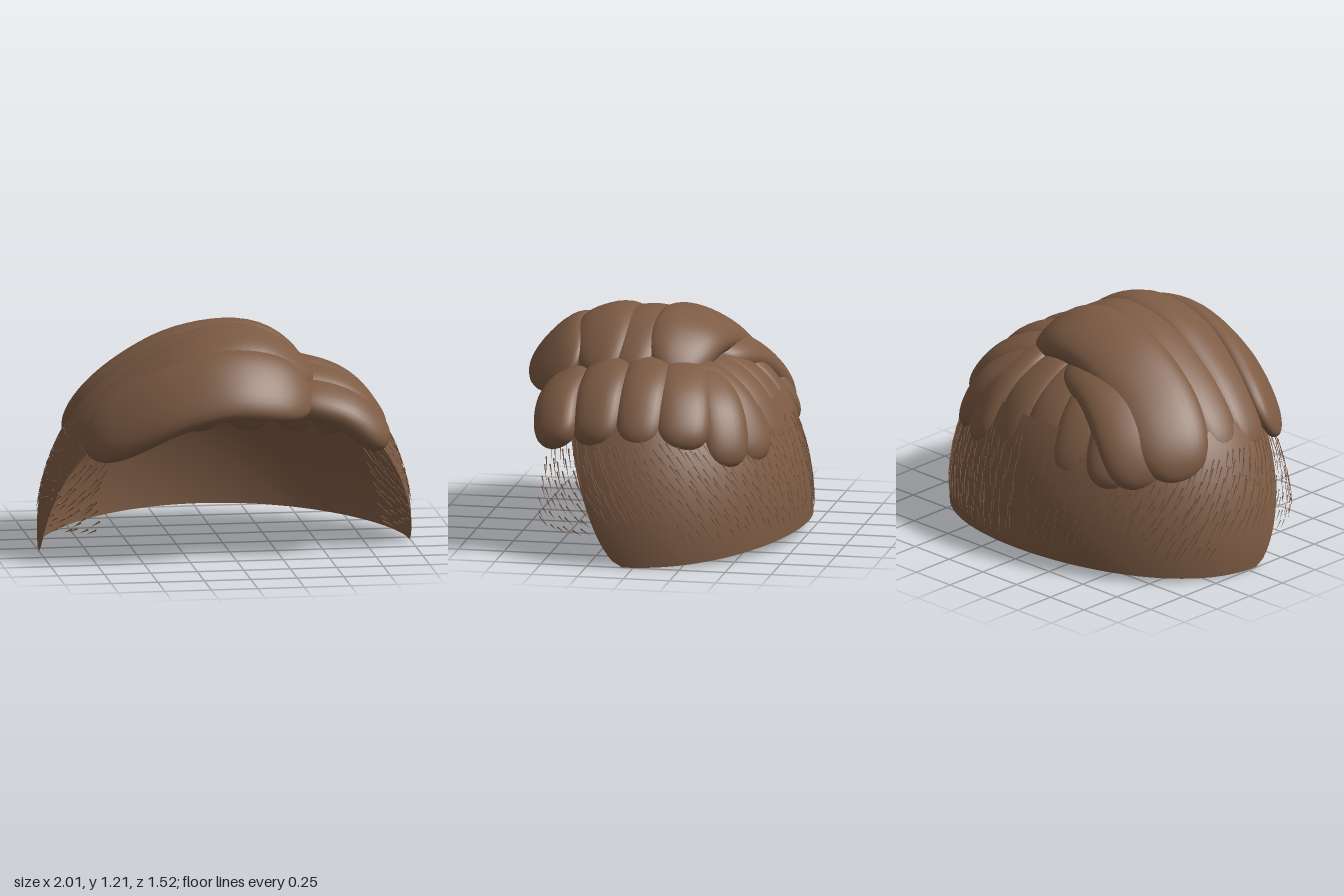
import * as THREE from 'three';
import { mergeGeometries } from 'three/addons/utils/BufferGeometryUtils.js';
import { ParametricGeometry } from 'three/addons/geometries/ParametricGeometry.js';

const V = (x, y, z) => new THREE.Vector3(x, y, z);
const CENTRE = V(0, 0.2, 0.05);

// point on the head ellipsoid at an azimuth (0 = +x, -PI/2 = back) and height
function headPoint(a, y, k = 1) {
  const s = k * Math.sqrt(1 - ((y - 0.1) / 1.05) ** 2);
  return V(s * Math.cos(a), y, 0.05 + 0.8 * s * Math.sin(a));
}

// plump lock swept along a path, flattened against the head, with round ends
function lockGeometry(points, w0, w1, thick, centre = CENTRE) {
  const curve = new THREE.CatmullRomCurve3(points.map(p => V(...p)));
  const n = 40, m = 28, pos = [], idx = [];
  const soft = (v, e) => Math.sign(v) * Math.abs(v) ** e;
  for (let i = 0; i <= n; i++) {
    const u = 0.5 - 0.5 * Math.cos(Math.PI * i / n);
    const c = curve.getPointAt(u), t = curve.getTangentAt(u);
    const out = c.clone().sub(centre);
    out.addScaledVector(t, -out.dot(t)).normalize();
    const side = t.clone().cross(out);
    const round = Math.sqrt(Math.max(0, 1 - Math.abs(2 * u - 1) ** 5)) + 1e-4;
    const w = (w0 + (w1 - w0) * u) * round, h = thick * round;
    for (let j = 0; j < m; j++) {
      const a = 2 * Math.PI * j / m;
      const p = c.clone().addScaledVector(side, w * soft(Math.cos(a), 0.9))
        .addScaledVector(out, h * soft(Math.sin(a), 0.9));
      pos.push(p.x, p.y, p.z);
      if (i < n) {
        const q = i * m + j, r = i * m + (j + 1) % m;
        idx.push(q, q + m, r, r, q + m, r + m);
      }
    }
  }
  const g = new THREE.BufferGeometry();
  g.setAttribute('position', new THREE.Float32BufferAttribute(pos, 3));
  g.setIndex(idx);
  g.computeVertexNormals();
  return g;
}

export function createModel() {
  const model = new THREE.Group();
  model.name = 'hairpiece';
  const brown = new THREE.MeshStandardMaterial({ color: 0x7d5b44, side: THREE.DoubleSide });
  brown.name = 'brown hair';
  const add = (parent, name, geometry) => {
    const mesh = new THREE.Mesh(geometry, brown);
    mesh.name = name;
    parent.add(mesh);
  };

  // close-cropped band around the back and sides, open at the front
  add(model, 'croppedBand', new ParametricGeometry((u, v, target) => {
    const zf = 0.06 + 0.36 * v ** 0.6;
    const s = Math.sqrt(1 - ((0.75 * v - 0.1) / 1.05) ** 2);
    const a0 = Math.asin((zf - 0.05) / (0.8 * s));
    const a = a0 - u * (Math.PI + 2 * a0);
    const low = 0.065 * Math.min(0, Math.sin(a)) ** 2;
    target.copy(headPoint(a, low + v * (0.75 - low)));
  }, 80, 24));

  // long bands combed across the top: path, start half-width, end half-width, half-thickness
  const combed = [
    [[[0.41, 0.87, 0.49], [0.2, 0.945, 0.57], [-0.05, 0.97, 0.6], [-0.35, 0.89, 0.56], [-0.6, 0.75, 0.48], [-0.8, 0.61, 0.39]], 0.22, 0.2, 0.08, V(0, 0.46, 0.05)],
    [[[0.45, 0.92, 0.29], [0.1, 1.1, 0.32], [-0.2, 1.06, 0.32], [-0.5, 0.89, 0.28], [-0.7, 0.72, 0.23], [-0.83, 0.57, 0.19]], 0.19, 0.16, 0.095],
    [[[0.46, 0.92, 0.13], [0.1, 1.1, 0.12], [-0.2, 1.06, 0.11], [-0.5, 0.9, 0.07], [-0.71, 0.72, 0.03], [-0.83, 0.57, 0]], 0.17, 0.16, 0.1],
    [[[0.44, 0.91, -0.09], [0.15, 1.075, -0.12], [-0.2, 1.045, -0.16], [-0.5, 0.88, -0.21], [-0.69, 0.69, -0.27], [-0.78, 0.53, -0.3]], 0.2, 0.24, 0.1, V(0, 0.33, 0.16)],
    [[[0.05, 0.97, -0.22], [-0.27, 0.92, -0.31], [-0.5, 0.75, -0.4], [-0.65, 0.5, -0.45]], 0.18, 0.19, 0.09],
  ];
  // shorter locks falling to the left of the parting
  const falling = [
    [[[0.3, 0.88, 0.44], [0.6, 0.79, 0.48], [0.81, 0.6, 0.46]], 0.15, 0.13, 0.085],
    [[[0.3, 0.95, 0.24], [0.62, 0.84, 0.25], [0.82, 0.61, 0.25]], 0.15, 0.14, 0.085],
    [[[0.3, 0.97, 0.03], [0.62, 0.85, 0.02], [0.83, 0.61, 0.02]], 0.14, 0.135, 0.085],
    [[[0.28, 0.95, -0.15], [0.6, 0.82, -0.19], [0.79, 0.6, -0.22]], 0.15, 0.155, 0.085],
    [[[0.28, 0.94, -0.2], [0.53, 0.76, -0.37], [0.67, 0.49, -0.44]], 0.14, 0.14, 0.08],
  ];
  // locks hanging down the back
  const hanging = [0.43, 0.21, -0.03, -0.25, -0.46].map(x => {
    const z = 0.3 * x * x;
    return [[[x * 0.75, 0.96, -0.2 + z], [x * 0.95, 0.78, -0.46 + z], [x * 1.08, 0.49, -0.63 + z]], 0.15, 0.14, 0.075];
  });
  for (const [name, locks] of Object.entries({ combedBand: combed, fallingLock: falling, hangingLock: hanging })) {
    const group = new THREE.Group();
    group.name = name + 's';
    locks.forEach((lock, i) => add(group, name + (i + 1), lockGeometry(...lock)));
    model.add(group);
  }

  // fine short hairs lying over the band, swept back and down
  let seed = 7;
  const rand = () => (seed = (seed * 16807) % 2147483647) / 2147483647 - 0.5;
  const hairs = [];
  const columns = 34, rows = 9;
  for (const mirror of [1, -1]) {
    for (let i = 0; i < columns; i++) {
      for (let j = 0; j < rows; j++) {
        const a = 0.7 - (i / columns) * (0.7 + Math.PI / 2) + rand() * 0.04;
        const y = 0.19 + j * 0.056 + rand() * 0.04;
        if (y < 0.28 && a > -0.3 && a < 0.3) continue;
        const drop = a > 0.2 ? 0.02 + 0.2 * (y - 0.15) : 0.09;
        const sweep = 0.01 + 0.075 * Math.max(0, Math.cos(a));
        const root = headPoint(a, y, 1.004), tip = headPoint(a - sweep, y - drop, 1.01);
        const along = tip.clone().sub(root), length = along.length();
        along.normalize();
        const out = root.clone().sub(CENTRE);
        out.addScaledVector(along, -out.dot(along)).normalize();
        const across = along.clone().cross(out);
        const g = new THREE.ConeGeometry(0.005, length, 4).scale(1, 1, 0.5);
        g.applyMatrix4(new THREE.Matrix4().makeBasis(across, along, out.negate())
          .setPosition(root.add(tip).multiplyScalar(0.5)));
        if (mirror < 0) {
          g.scale(-1, 1, 1);
          const ix = g.index.array;
          for (let k = 0; k < ix.length; k += 3) [ix[k], ix[k + 1]] = [ix[k + 1], ix[k]];
        }
        hairs.push(g);
      }
    }
  }
  add(model, 'fineHairs', mergeGeometries(hairs));
  return model;
}
